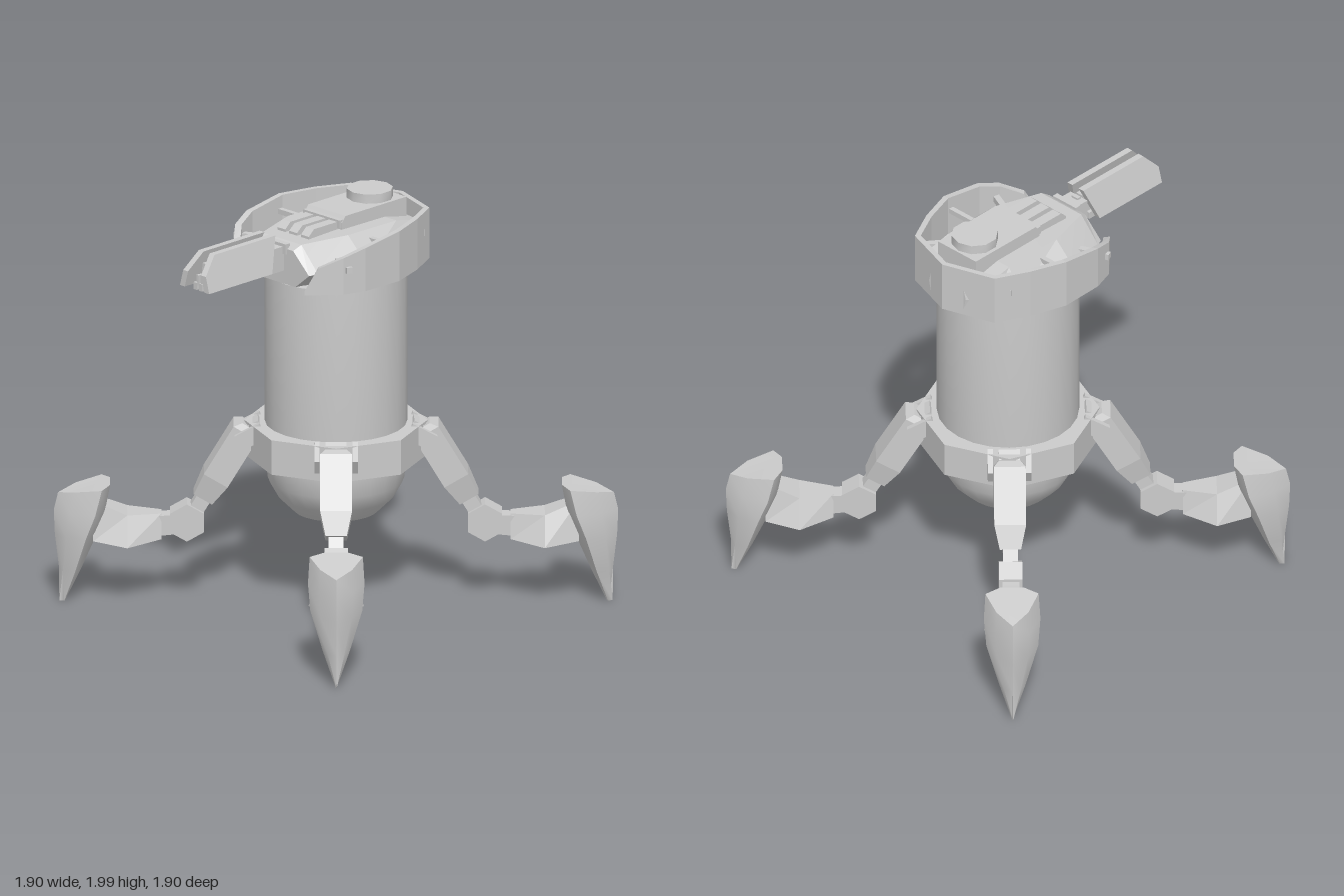
import * as THREE from 'three';
import { toCreasedNormals } from 'three/addons/utils/BufferGeometryUtils.js';

const grey = new THREE.MeshStandardMaterial({ color: 0xcccccc });

function add(parent, name, geo, x = 0, y = 0, z = 0) {
  const mesh = new THREE.Mesh(geo, grey);
  mesh.name = name;
  mesh.position.set(x, y, z);
  parent.add(mesh);
  return mesh;
}

const box = (w, h, d) => new THREE.BoxGeometry(w, h, d);

// Skin a row of equal-length closed sections ([x, y, z] corners), capped at both ends
function loft(sections, crease = 0.1) {
  const tris = [], n = sections[0].length, last = sections.length - 1;
  for (let i = 0; i < last; i++) {
    for (let j = 0; j < n; j++) {
      const k = (j + 1) % n;
      const a = sections[i][j], b = sections[i][k], c = sections[i + 1][k], d = sections[i + 1][j];
      tris.push([a, b, c], [a, c, d]);
    }
  }
  for (let j = 1; j < n - 1; j++) {
    tris.push([sections[0][0], sections[0][j + 1], sections[0][j]]);
    tris.push([sections[last][0], sections[last][j], sections[last][j + 1]]);
  }
  // Signed volume decides the winding so that faces look outward
  const v = (p) => new THREE.Vector3(...p);
  const volume = tris.reduce((s, [a, b, c]) => s + v(a).dot(v(b).cross(v(c))), 0);
  const pos = tris.flatMap((t) => (volume < 0 ? [t[0], t[2], t[1]] : t)).flat();
  const geo = new THREE.BufferGeometry();
  geo.setAttribute('position', new THREE.Float32BufferAttribute(pos, 3));
  geo.computeVertexNormals();
  return toCreasedNormals(geo, crease);
}

// Box-like bar between two points in the x-y plane, with thickness and z width at each end
function bar(stations) {
  const first = stations[0], end = stations[stations.length - 1];
  const dir = new THREE.Vector2(end[0] - first[0], end[1] - first[1]).normalize();
  return loft(stations.map(([x, y, t, w]) => {
    const nx = -dir.y * t / 2, ny = dir.x * t / 2;
    return [[x + nx, y + ny, w / 2], [x + nx, y + ny, -w / 2], [x - nx, y - ny, -w / 2], [x - nx, y - ny, w / 2]];
  }));
}

// Leg built with local +x pointing outward
function makeLeg() {
  const leg = new THREE.Group();
  leg.name = 'leg';
  const hip = add(leg, 'hipBracket', box(0.14, 0.12, 0.1), 0.4, 0.83, 0);
  hip.rotation.z = -0.5;
  for (const s of [-1, 1]) {
    const ear = add(leg, 'hipPlate', box(0.13, 0.08, 0.025), 0.4, 0.85, s * 0.09);
    ear.rotation.z = -0.5;
  }
  add(leg, 'thigh', bar([[0.41, 0.885, 0.07, 0.1], [0.425, 0.86, 0.13, 0.15], [0.565, 0.625, 0.13, 0.15], [0.625, 0.525, 0.1, 0.1]]));
  add(leg, 'kneeLink', bar([[0.6, 0.56, 0.07, 0.07], [0.69, 0.41, 0.07, 0.07]]));
  const knee = new THREE.CylinderGeometry(0.092, 0.092, 0.11, 6).toNonIndexed();
  knee.computeVertexNormals();
  knee.rotateX(Math.PI / 2);
  add(leg, 'knee', knee, 0.7, 0.41, 0);
  add(leg, 'ankleLink', bar([[0.7, 0.4, 0.09, 0.08], [0.85, 0.39, 0.1, 0.08]]));
  // Shin swells sideways before meeting the claw
  add(leg, 'shin', loft([[0.82, 0.33, 0.45, 0.055], [0.98, 0.31, 0.455, 0.13], [1.14, 0.33, 0.52, 0.085]].map(
    ([x, lo, hi, w]) => [[x, hi, w * 0.6], [x, hi, -w * 0.6], [x, lo, -w], [x, lo, w]])));
  // Claw: ridge outside, flatter inside, narrowing to a point
  const claw = [
    // inner x, side x, ridge x, half width, inner y, side y, ridge y
    [1.06, 1.1, 1.305, 0.125, 0.6, 0.592, 0.545],
    [1.085, 1.13, 1.325, 0.133, 0.47, 0.47, 0.46],
    [1.13, 1.175, 1.32, 0.122, 0.34, 0.35, 0.34],
    [1.2, 1.225, 1.3, 0.064, 0.17, 0.17, 0.17],
    [1.273, 1.276, 1.282, 0.004, 0.01, 0.01, 0.01],
  ].map(([xi, xs, xr, w, yi, ys, yr]) => [
    [xi, yi, w * 0.45], [xs, ys, w], [(xs + xr) / 2 + 0.02, (ys + yr) / 2, w * 0.6], [xr, yr, 0],
    [(xs + xr) / 2 + 0.02, (ys + yr) / 2, -w * 0.6], [xs, ys, -w], [xi, yi, -w * 0.45]]);
  add(leg, 'claw', loft(claw, 0.75));
  return leg;
}

function makeTurret() {
  const turret = new THREE.Group();
  turret.name = 'turret';

  // Armour wall open at the front: x, z, top height, from back middle to front end
  const half = [[0, -0.445, 1.93], [0.26, -0.36, 1.93], [0.34, -0.2, 1.93], [0.4, -0.02, 1.925],
    [0.395, 0.2, 1.893], [0.36, 0.31, 1.86], [0.28, 0.4, 1.81], [0.235, 0.445, 1.7]];
  const path = [...half.slice(1).reverse().map(([x, z, y]) => [-x, z, y]), ...half];
  add(turret, 'armourWall', loft(path.map(([x, z, y]) => [
    [x, 1.68, z], [x, y, z], [x * 0.93, y, z * 0.94], [x * 0.93, 1.68, z * 0.94]])));

  // Faceted hull: z, top half width, top y, waist half width, waist y, bottom half width
  add(turret, 'hull', loft([
    [-0.41, 0.1, 1.84, 0.12, 1.77, 0.1], [-0.34, 0.2, 1.86, 0.23, 1.77, 0.18], [-0.2, 0.2, 1.89, 0.28, 1.77, 0.22],
    [0.12, 0.2, 1.893, 0.33, 1.77, 0.24], [0.36, 0.13, 1.885, 0.24, 1.765, 0.14], [0.4, 0.115, 1.86, 0.22, 1.76, 0.13],
  ].map(([z, t, ty, m, my, b]) => [[t, ty, z], [m, my, z], [b, 1.685, z], [-b, 1.685, z], [-m, my, z], [-t, ty, z]])));

  // Roof plate, hatch and vents
  add(turret, 'roofPlate', loft([[-0.345, 1.955], [0.06, 1.955], [0.085, 1.925]].map(
    ([z, y]) => [[0.123, y, z], [0.123, 1.86, z], [-0.123, 1.86, z], [-0.123, y, z]])));
  add(turret, 'hatch', toCreasedNormals(new THREE.CylinderGeometry(0.11, 0.11, 0.05, 10), 0.9), 0, 1.975, -0.225);
  add(turret, 'ventBar', box(0.24, 0.04, 0.025), 0, 1.92, 0.085);
  for (const x of [-0.078, 0, 0.078]) {
    add(turret, 'vent', loft([[0.08, 1.93], [0.25, 1.93], [0.285, 1.9]].map(
      ([z, y]) => [[x + 0.026, y, z], [x + 0.026, 1.87, z], [x - 0.026, 1.87, z], [x - 0.026, y, z]])));
  }

  // Struts tying the hull to the wall
  for (const s of [-1, 1]) {
    add(turret, 'sideStrut', box(0.17, 0.025, 0.025), s * 0.305, 1.85, 0);
    const front = add(turret, 'frontStrut', box(0.18, 0.03, 0.03), s * 0.3, 1.8, 0.255);
    front.rotation.y = -s * 0.42;
    const back = add(turret, 'backStrut', box(0.12, 0.03, 0.03), s * 0.25, 1.83, -0.25);
    back.rotation.y = s * 0.9;
  }
  return turret;
}

function makeGun() {
  const gun = new THREE.Group();
  gun.name = 'gun';
  add(gun, 'mount', box(0.11, 0.12, 0.12), 0, 1.81, 0.42);
  add(gun, 'mountYoke', box(0.15, 0.05, 0.03), 0, 1.86, 0.395);
  add(gun, 'receiver', box(0.06, 0.09, 0.42), 0, 1.81, 0.65);

  // Side plates leaning together at the top
  const side = new THREE.Shape([[0.94, 1.77], [0.94, 1.85], [0.86, 1.935], [0.455, 1.935], [0.52, 1.77]].map((p) => new THREE.Vector2(...p)));
  for (const s of [-1, 1]) {
    const geo = new THREE.ExtrudeGeometry(side, { depth: 0.032, bevelEnabled: false });
    geo.rotateY(-Math.PI / 2);
    const p = geo.attributes.position;
    for (let i = 0; i < p.count; i++) {
      const lean = (1.935 - p.getY(i)) / 0.165 * 0.045;
      p.setX(i, p.getX(i) + 0.016 + s * (0.036 + lean));
    }
    geo.computeVertexNormals();
    add(gun, 'sidePlate', geo);
  }

  // Ribbed spine between the plates
  for (let i = 0; i < 13; i++) add(gun, 'spineRib', box(0.04, 0.03, 0.022), 0, 1.865, 0.46 + i * 0.033);

  // Barrels slung beneath
  for (const x of [-0.036, 0, 0.036]) {
    add(gun, 'barrel', box(0.022, 0.035, 0.4), x, 1.77, 0.7);
    add(gun, 'muzzle', box(0.014, 0.05, 0.03), x * 0.7, 1.8, 0.88);
  }
  return gun;
}

export function createModel() {
  const model = new THREE.Group();
  model.name = 'walkingTurret';

  // Drum body with rounded underside
  const profile = [[0, 0.465], [0.2, 0.465], [0.275, 0.54], [0.32, 0.62], [0.335, 0.73], [0.335, 1.652], [0, 1.652]];
  const drum = new THREE.LatheGeometry(profile.map((p) => new THREE.Vector2(...p)), 24);
  add(model, 'drum', toCreasedNormals(drum, 0.6));

  // Eight-sided collar carrying the legs
  const collar = new THREE.CylinderGeometry(0.43, 0.43, 0.17, 8).toNonIndexed();
  collar.computeVertexNormals();
  add(model, 'collar', collar, 0, 0.818, 0);

  for (let i = 0; i < 4; i++) {
    const leg = makeLeg();
    leg.rotation.y = Math.PI / 4 + i * Math.PI / 2;
    model.add(leg);
  }
  model.add(makeTurret(), makeGun());
  return model;
}
